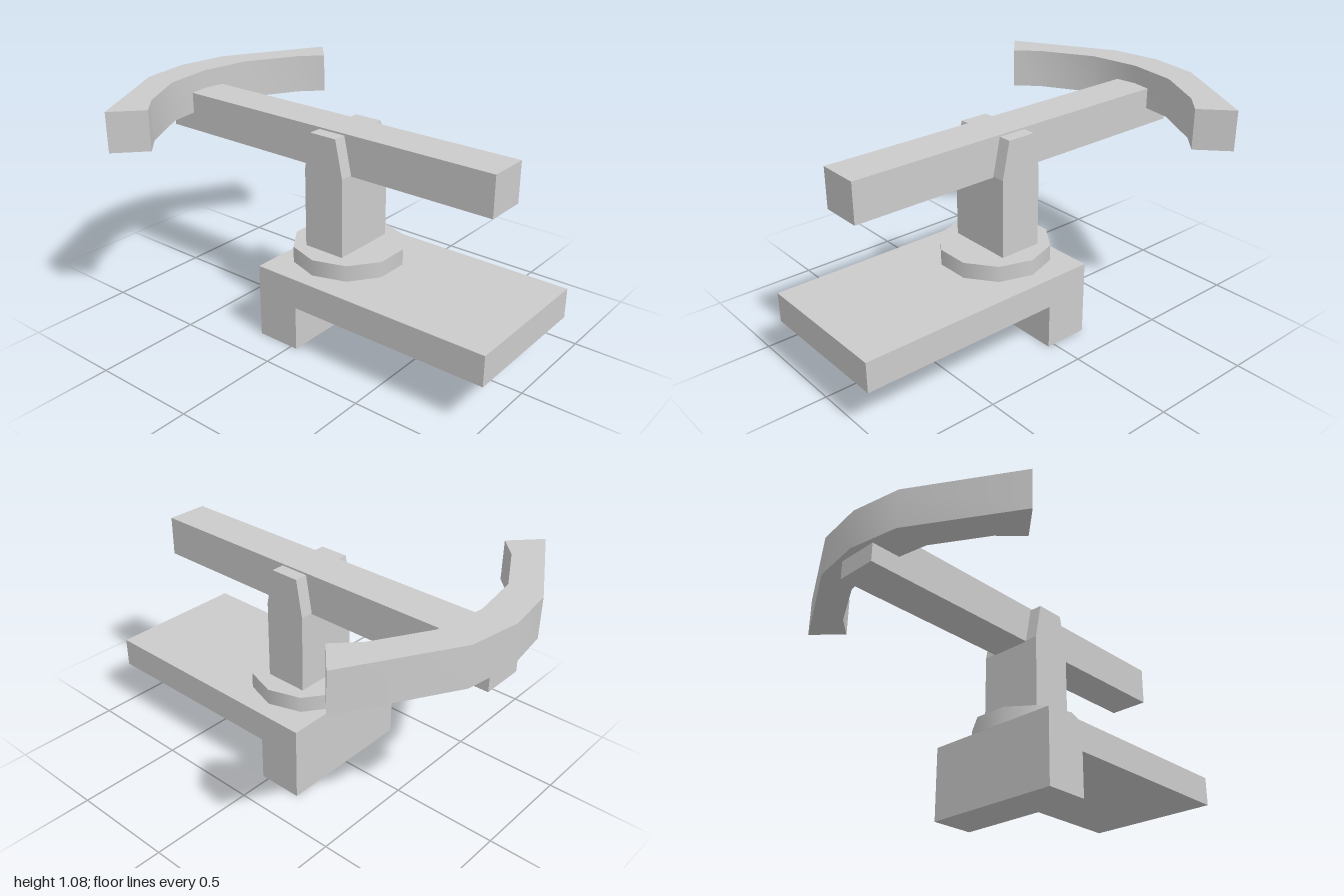
import * as THREE from 'three';
import { toCreasedNormals } from 'three/addons/utils/BufferGeometryUtils.js';

const material = new THREE.MeshStandardMaterial({ color: 0xcccccc });

function extrude(points, depth) {
  const shape = new THREE.Shape(points.map(([x, y]) => new THREE.Vector2(x, y)));
  return new THREE.ExtrudeGeometry(shape, { depth, bevelEnabled: false });
}

// Side profile given as [z, y], extruded across x and centred on x = 0
function sideProfile(points, width) {
  return extrude(points, width).rotateY(-Math.PI / 2).translate(width / 2, 0, 0);
}

export function createModel() {
  const model = new THREE.Group();
  const add = (name, geometry) => {
    const mesh = new THREE.Mesh(geometry, material);
    mesh.name = name;
    model.add(mesh);
    return mesh;
  };

  // L-shaped base: long plate with a block under its back end
  add('base', sideProfile([
    [-0.183, 0], [0.032, 0], [0.032, 0.213], [1, 0.213], [1, 0.355], [-0.183, 0.355],
  ], 0.684));

  // Ten-sided turntable
  add('turntable', new THREE.CylinderGeometry(0.261, 0.261, 0.077, 10, 1, false, Math.PI / 2))
    .position.set(0, 0.3925, 0.064);

  // Upright post with tapered cheeks that hold the beam
  add('post', sideProfile([
    [-0.056, 0.43], [0.152, 0.43], [0.152, 0.805], [0.115, 0.979], [-0.024, 0.979], [-0.056, 0.805],
  ], 0.322));

  // Long horizontal beam
  add('beam', new THREE.BoxGeometry(0.198, 0.187, 1.82)).position.set(0, 0.894, -0.054);

  // Curved bow: half outline as [x, -z] from outer middle to inner middle, then mirrored
  const half = [[0.243, 0.963], [0.72, 0.692], [0.586, 0.569], [0.487, 0.665], [0.243, 0.803]];
  const mirrored = half.map(([x, y]) => [-x, y]).reverse();
  const bow = extrude([[0, 1], ...half, [0, 0.84], ...mirrored], 0.187);
  bow.rotateX(-Math.PI / 2).translate(0, 0.888, 0);
  add('bow', toCreasedNormals(bow, 0.7));

  return model;
}
